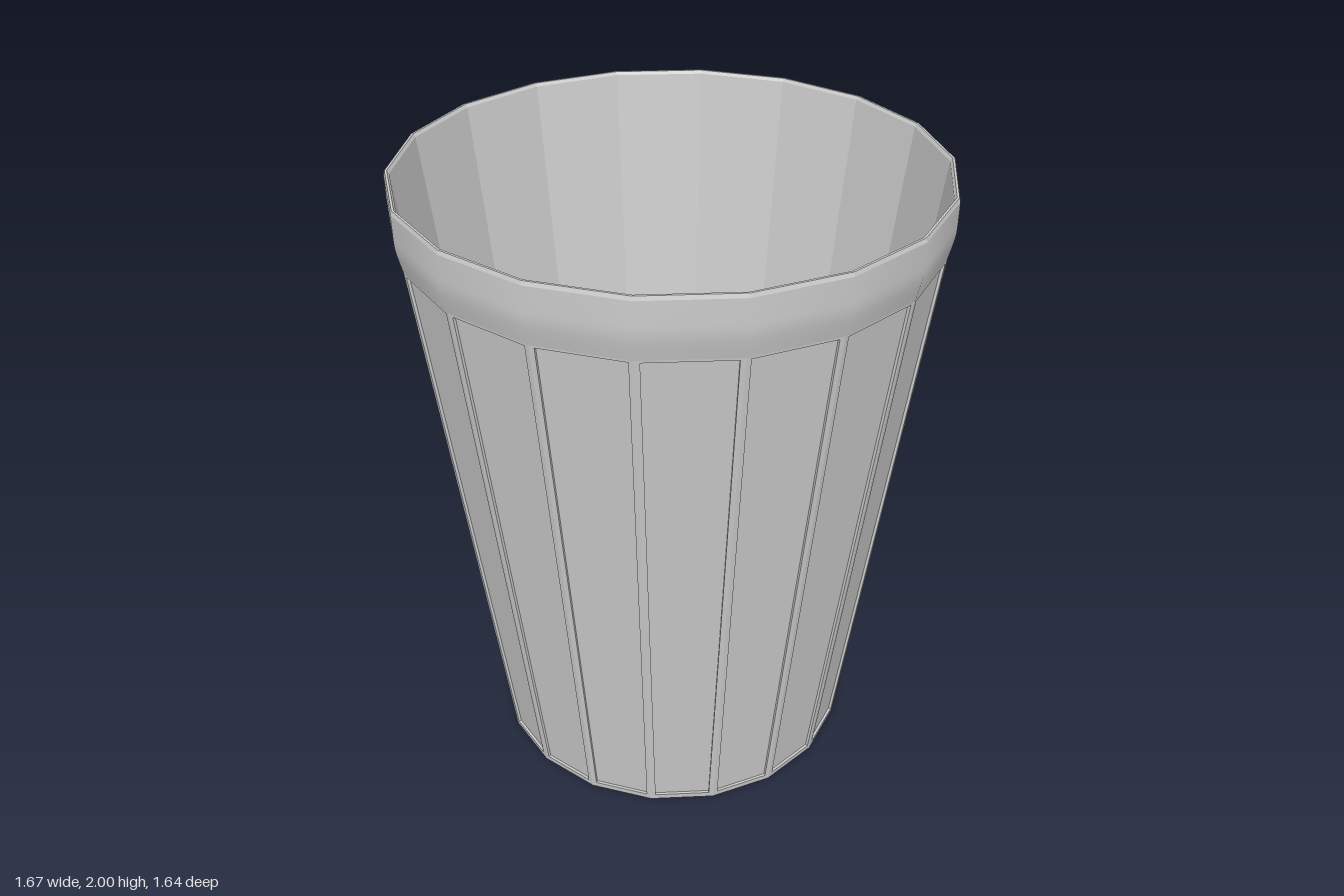
import * as THREE from 'three';

const SIDES = 18;
const STEP = (Math.PI * 2) / SIDES;
const material = new THREE.MeshStandardMaterial({ color: 0xcccccc });
const flatMaterial = new THREE.MeshStandardMaterial({ color: 0xcccccc, flatShading: true });

// Wall: radius at the corners by height
const BASE_R = 0.594, SHOULDER_R = 0.815, SHOULDER_Y = 1.81;
const wallRadius = (y) => BASE_R + ((SHOULDER_R - BASE_R) * y) / SHOULDER_Y;

// Turned 18-sided part, with a flat side facing the front
function turned(name, profile, mat) {
  const points = profile.map(([r, y]) => new THREE.Vector2(r, y));
  const mesh = new THREE.Mesh(new THREE.LatheGeometry(points, SIDES, STEP / 2), mat);
  mesh.name = name;
  return mesh;
}

// One side of the wall: a flat frame around a sunken panel
function staveGeometry() {
  const margin = 0.015, depth = 0.009, low = 0.02, high = 1.803;
  const point = (side, y, inset, sink) => [
    side * (wallRadius(y) * Math.sin(STEP / 2) - inset),
    y,
    wallRadius(y) * Math.cos(STEP / 2) - sink,
  ];
  // Corners run counter-clockwise from the lower left
  const ring = (y0, y1, inset, sink) => [
    point(-1, y0, inset, sink), point(1, y0, inset, sink),
    point(1, y1, inset, sink), point(-1, y1, inset, sink),
  ];
  const rings = [
    ring(0, SHOULDER_Y, 0, 0),
    ring(low, high, margin, 0),
    ring(low, high, margin, depth),
  ];
  const positions = [];
  const quad = (a, b, c, d) => positions.push(...a, ...b, ...c, ...a, ...c, ...d);
  for (let k = 0; k < 2; k++) {
    for (let i = 0; i < 4; i++) {
      const j = (i + 1) % 4;
      quad(rings[k][i], rings[k][j], rings[k + 1][j], rings[k + 1][i]);
    }
  }
  quad(...rings[2]);
  const geometry = new THREE.BufferGeometry();
  geometry.setAttribute('position', new THREE.Float32BufferAttribute(positions, 3));
  geometry.computeVertexNormals();
  return geometry;
}

export function createModel() {
  const cup = new THREE.Group();
  cup.name = 'cup';

  // Outer wall of panelled sides
  const wall = new THREE.Group();
  wall.name = 'panelledWall';
  const stave = staveGeometry();
  for (let i = 0; i < SIDES; i++) {
    const mesh = new THREE.Mesh(stave, flatMaterial);
    mesh.name = 'wallPanel';
    mesh.rotation.y = i * STEP;
    wall.add(mesh);
  }
  cup.add(wall);

  // Smooth band that swells out below the lip
  cup.add(turned('rimBand', [
    [SHOULDER_R, SHOULDER_Y], [0.821, 1.835], [0.828, 1.865], [0.832, 1.89], [0.833, 1.915], [0.833, 1.988],
  ], material));

  // Narrow bevelled lip
  cup.add(turned('lip', [[0.833, 1.988], [0.829, 2], [0.822, 2], [0.816, 1.99]], flatMaterial));

  // Inside wall, floor and underside
  cup.add(turned('innerWall', [[0.816, 1.99], [0.57, 0.025]], flatMaterial));
  cup.add(turned('floor', [[0.57, 0.025], [0, 0.025]], flatMaterial));
  cup.add(turned('underside', [[0, 0], [BASE_R, 0]], flatMaterial));

  return cup;
}
